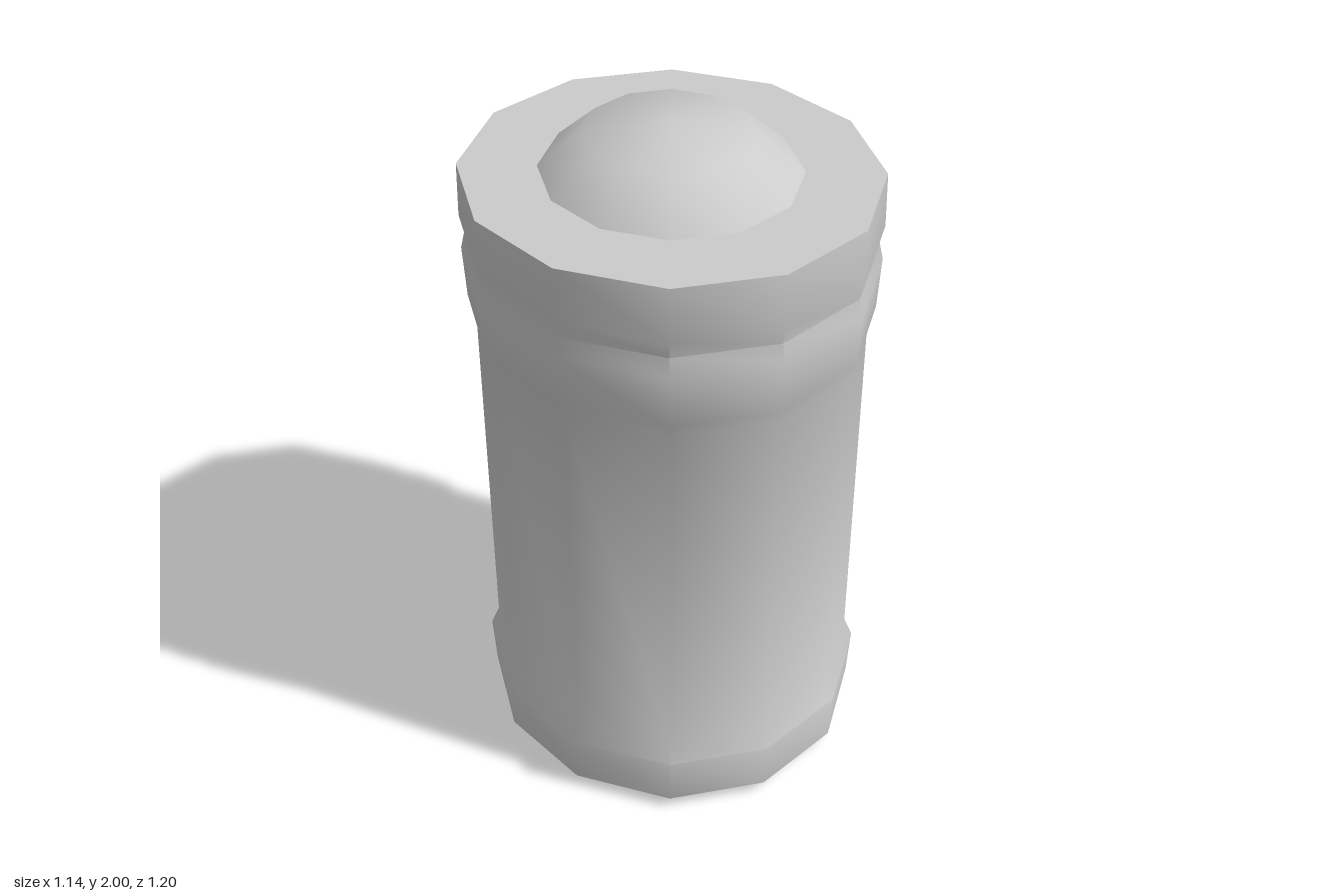
import * as THREE from 'three';
import { toCreasedNormals } from 'three/addons/utils/BufferGeometryUtils.js';

const SIDES = 12;
const X_SCALE = 0.95; // slightly oval plan, narrower across x

// Twelve-sided turned part from [radius, height] pairs, listed bottom to top
function turned(name, profile, material) {
  const points = profile.map(([r, y]) => new THREE.Vector2(r, y));
  const lathe = new THREE.LatheGeometry(points, SIDES);
  lathe.scale(X_SCALE, 1, 1);
  const mesh = new THREE.Mesh(toCreasedNormals(lathe, THREE.MathUtils.degToRad(40)), material);
  mesh.name = name;
  return mesh;
}

export function createModel() {
  const group = new THREE.Group();
  group.name = 'canister';
  const grey = new THREE.MeshStandardMaterial({ color: 0xcccccc });

  // Shell: shallow pointed base, foot band, straight wall, grooved collar, flat deck
  group.add(turned('shell', [
    [0, 0.005], [0.588, 0.045],
    [0.597, 0.2], [0.571, 0.255],
    [0.571, 1.39], [0.592, 1.445],
    [0.6, 1.6], [0.587, 1.652],
    [0.6, 1.702], [0.596, 1.86],
    [0, 1.86],
  ], grey));

  // Cap: sloping shoulder with a low pointed crown
  group.add(turned('cap', [
    [0.371, 1.86], [0.243, 1.972], [0, 2],
  ], grey));

  return group;
}
